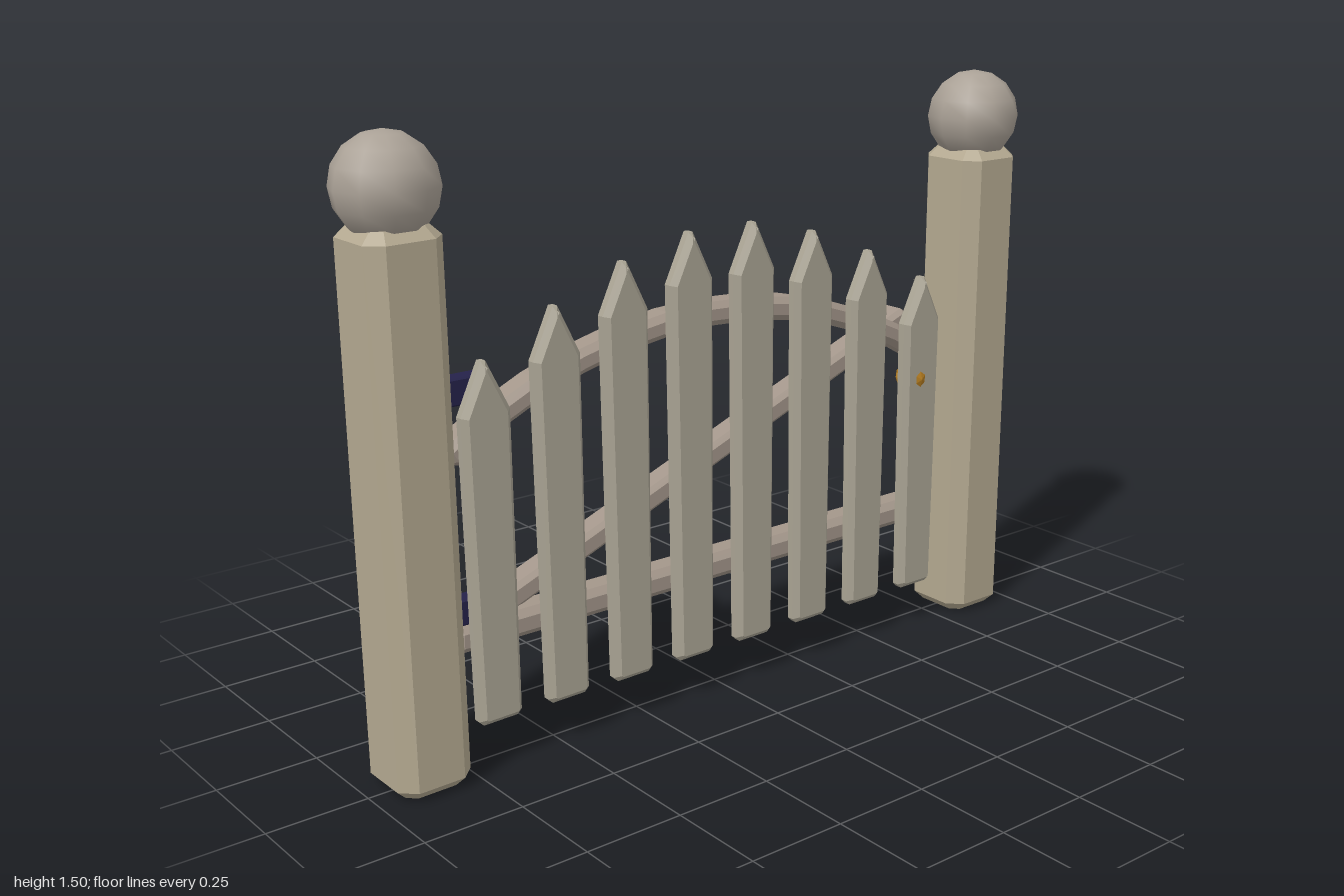
import * as THREE from 'three';

const mat = (color) => new THREE.MeshStandardMaterial({ color, flatShading: true });

// Bar with all edges chamfered, centred on the origin; w along x, h along y, len along z
function barGeometry(w, h, len, c, steps = 1) {
  const x = w / 2, y = h / 2;
  const shape = new THREE.Shape([
    [x - c, -y], [x, -y + c], [x, y - c], [x - c, y],
    [-x + c, y], [-x, y - c], [-x, -y + c], [-x + c, -y],
  ].map(([a, b]) => new THREE.Vector2(a, b)));
  const b = c * 0.7;
  const g = new THREE.ExtrudeGeometry(shape, {
    depth: len - 2 * b, steps, bevelEnabled: true, bevelSegments: 1,
    bevelThickness: b, bevelSize: b, bevelOffset: -b,
  });
  return g.translate(0, 0, b - len / 2);
}

// Pointed picket with bevelled faces, standing on y = 0
function picketGeometry(height) {
  const s = 0.064, f = 0.058, c = 0.012, shoulder = height - 0.12;
  const shape = new THREE.Shape([
    [-f + c, 0], [f - c, 0], [f, c], [s, shoulder], [0.006, height],
    [-0.006, height], [-s, shoulder], [-f, c],
  ].map(([a, b]) => new THREE.Vector2(a, b)));
  const b = 0.014;
  const g = new THREE.ExtrudeGeometry(shape, {
    depth: 0.018, bevelEnabled: true, bevelSegments: 1,
    bevelThickness: b, bevelSize: b, bevelOffset: -b,
  });
  return g.translate(0, 0, -0.009);
}

// Bend a bar lying along x onto a circle of radius r
function bend(g, r) {
  const p = g.attributes.position;
  for (let i = 0; i < p.count; i++) {
    const a = p.getX(i) / r, d = r + p.getY(i);
    p.setXY(i, d * Math.sin(a), d * Math.cos(a) - r);
  }
  g.computeVertexNormals();
  return g;
}

export function createModel() {
  const model = new THREE.Group();
  const postMat = mat(0xb3a890), ballMat = mat(0xaaa196), picketMat = mat(0xaaa494);
  const railMat = mat(0xa3968a), hingeMat = mat(0x25224a), latchMat = mat(0xb98022);
  ballMat.flatShading = false;

  const add = (name, geometry, material, x, y, z, rz = 0) => {
    const m = new THREE.Mesh(geometry, material);
    m.name = name;
    m.position.set(x, y, z);
    m.rotation.z = rz;
    model.add(m);
    return m;
  };

  // Gate posts with ball finials
  const post = barGeometry(0.19, 0.195, 1.295, 0.036).rotateX(-Math.PI / 2);
  const ball = new THREE.SphereGeometry(0.12, 10, 8);
  add('rightPost', post, postMat, -0.871, 0.6475, 0, 0.012);
  add('leftPost', post, postMat, 0.877, 0.6475, 0);
  add('rightBall', ball, ballMat, -0.88, 1.375, 0);
  add('leftBall', ball, ballMat, 0.88, 1.375, 0);

  // Pickets, tallest in the middle, leaning slightly on one side
  const tips = [0.975, 1.07, 1.145, 1.19];
  for (let i = 0; i < 8; i++) {
    const tip = tips[Math.min(i, 7 - i)];
    const lean = Math.max(0, 0.016 - i * 0.0024);
    add(`picket${i + 1}`, picketGeometry(tip - 0.11), picketMat, -0.673 + i * 0.191, 0.11, 0.037, lean);
  }

  // Straight lower rail
  const rail = barGeometry(0.085, 0.068, 1.49, 0.017).rotateY(Math.PI / 2);
  add('lowerRail', rail, railMat, 0, 0.305, -0.043);

  // Arched upper rail
  const arch = bend(barGeometry(0.085, 0.06, 1.575, 0.016, 12).rotateY(Math.PI / 2), 1.371);
  add('archedRail', arch, railMat, 0, 0.964, -0.043);

  // Diagonal brace across the back
  const brace = barGeometry(0.075, 0.058, 1.485, 0.012).rotateY(Math.PI / 2);
  add('diagonalBrace', brace, railMat, 0, 0.58, -0.07, 0.368);

  // Hinges
  const hinge = barGeometry(0.15, 0.064, 0.045, 0.006);
  add('upperHinge', hinge, hingeMat, -0.722, 0.903, -0.012);
  add('lowerHinge', hinge, hingeMat, -0.722, 0.382, -0.012);

  // Latch knob, set through the end picket
  add('latchKnob', new THREE.IcosahedronGeometry(0.042, 1), latchMat, 0.655, 0.7, 0.024);

  return model;
}
